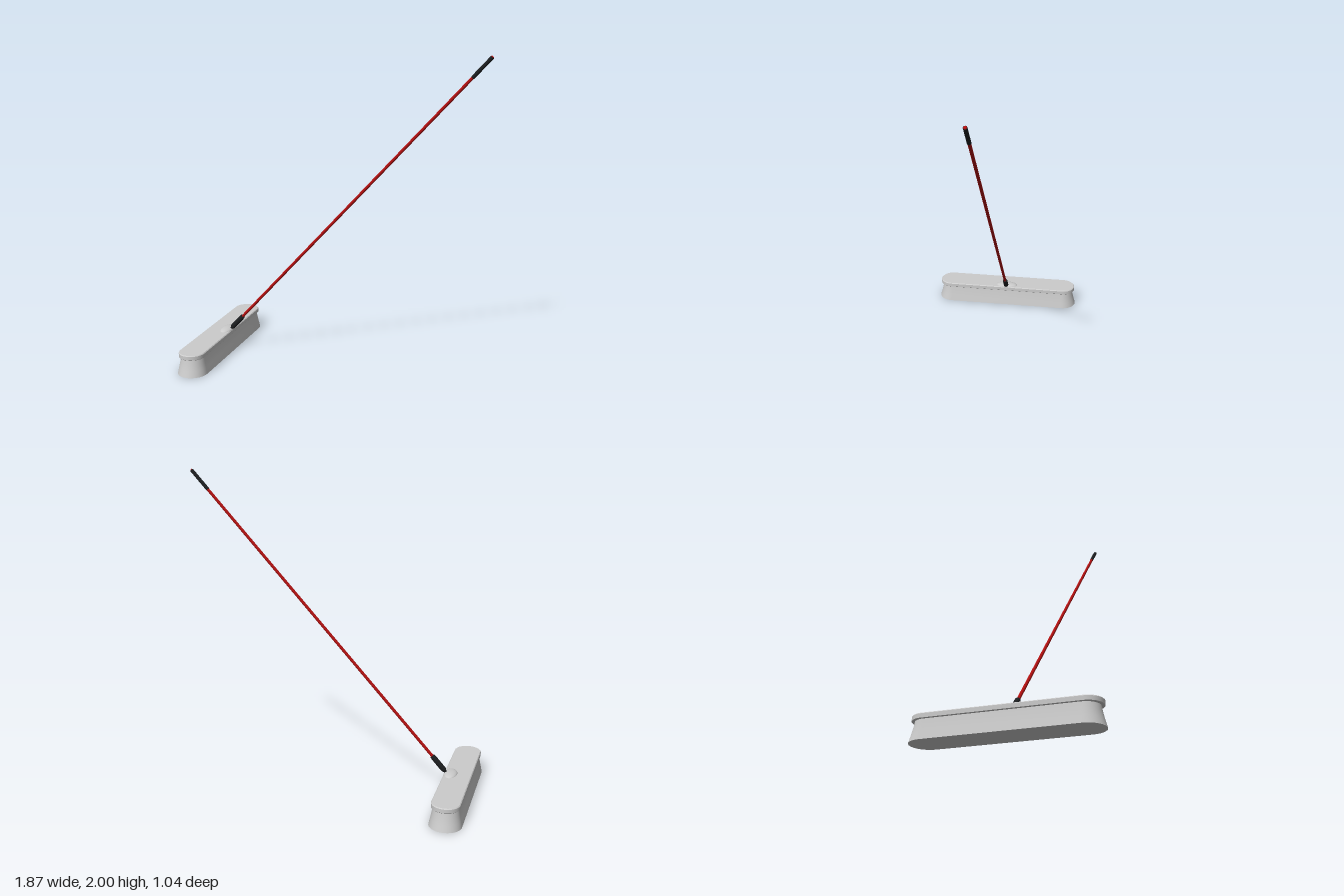
import * as THREE from 'three';
import { toCreasedNormals } from 'three/addons/utils/BufferGeometryUtils.js';

const HEAD_X = -0.843;

// Stack of rounded-end outlines, each [y, half width, half length], capped at both ends
function loftStadium(levels, arc = 20) {
  const positions = [], index = [];
  const n = 2 * (arc + 1);
  for (const [y, w, l] of levels) {
    for (let i = 0; i < n; i++) {
      const end = i <= arc ? 1 : -1;
      const a = (i <= arc ? i : i - 1) / arc * Math.PI;
      positions.push(w * Math.cos(a), y, end * (l - w) + w * Math.sin(a));
    }
  }
  for (let r = 0; r < levels.length - 1; r++) {
    for (let i = 0; i < n; i++) {
      const a = r * n + i, b = r * n + (i + 1) % n;
      index.push(a, a + n, b, b, a + n, b + n);
    }
  }
  const top = (levels.length - 1) * n;
  for (let i = 1; i < n - 1; i++) {
    index.push(0, i, i + 1);
    index.push(top, top + i + 1, top + i);
  }
  const g = new THREE.BufferGeometry();
  g.setAttribute('position', new THREE.Float32BufferAttribute(positions, 3));
  g.setIndex(index);
  return toCreasedNormals(g, 0.5);
}

export function createModel() {
  const group = new THREE.Group();
  const grey = new THREE.MeshStandardMaterial({ color: 0xcccccc });
  const red = new THREE.MeshStandardMaterial({ color: 0xb01010 });
  const black = new THREE.MeshStandardMaterial({ color: 0x1c1e20 });

  const add = (parent, name, geometry, material) => {
    const mesh = new THREE.Mesh(geometry, material);
    mesh.name = name;
    parent.add(mesh);
    return mesh;
  };

  // Broom head: flared bristles under a rounded block
  const head = new THREE.Group();
  head.name = 'head';
  head.position.x = HEAD_X;
  group.add(head);
  add(head, 'bristles', loftStadium([
    [0, 0.098, 0.52], [0.04, 0.09, 0.508], [0.08, 0.082, 0.498], [0.116, 0.077, 0.492],
  ]), grey);
  add(head, 'block', loftStadium([
    [0.113, 0.083, 0.507], [0.116, 0.086, 0.51], [0.139, 0.086, 0.51], [0.144, 0.081, 0.505],
  ]), grey);

  // Low swelling on the block where the handle enters
  const mound = add(head, 'socketMound',
    new THREE.SphereGeometry(1, 32, 10, 0, Math.PI * 2, 0, Math.PI / 2), grey);
  mound.scale.set(0.042, 0.019, 0.078);
  mound.position.set(0.045, 0.141, 0);

  // Slanted handle, built upright along y and then tilted towards +x
  const start = new THREE.Vector3(-0.772, 0.146, 0);
  const end = new THREE.Vector3(0.922, 1.993, 0);
  const length = start.distanceTo(end);
  const handle = new THREE.Group();
  handle.name = 'handle';
  handle.position.copy(start);
  handle.quaternion.setFromUnitVectors(
    new THREE.Vector3(0, 1, 0), end.clone().sub(start).normalize());
  group.add(handle);

  const turned = (name, profile, material) => {
    const pts = profile.map(([r, y]) => new THREE.Vector2(r, y));
    add(handle, name, toCreasedNormals(new THREE.LatheGeometry(pts, 24), 0.5), material);
  };
  turned('pole', [[0, 0.02], [0.0095, 0.02], [0.0095, length - 0.003],
    [0.007, length], [0, length]], red);
  turned('ferrule', [[0, 0], [0.008, 0], [0.009, 0.012], [0.015, 0.022], [0.017, 0.03],
    [0.017, 0.115], [0.015, 0.136], [0.009, 0.138]], black);
  turned('grip', [[0.009, length - 0.168], [0.0115, length - 0.165],
    [0.0115, length - 0.006], [0.009, length - 0.004]], black);

  return group;
}
